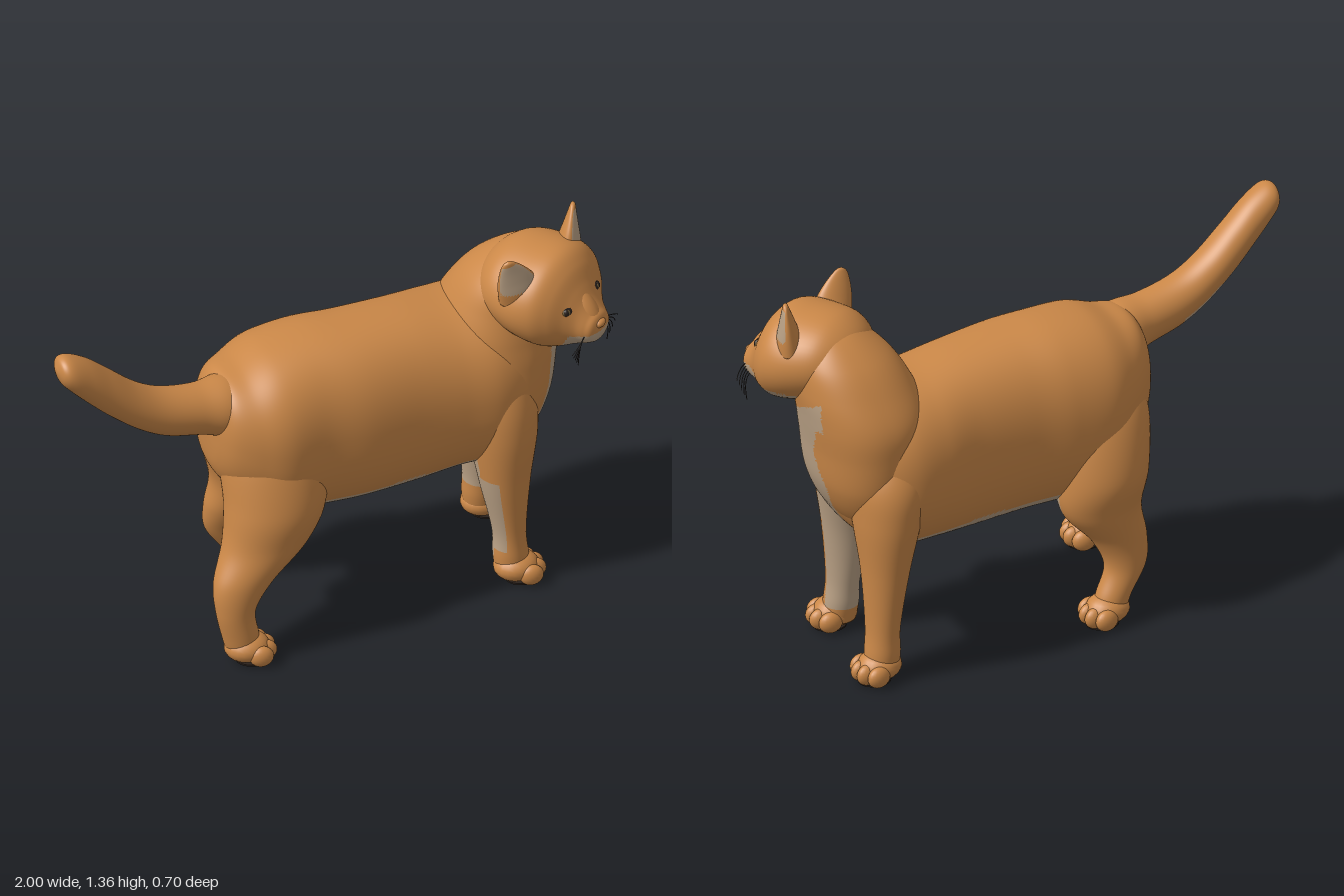
import * as THREE from 'three';

const mat = (name, color) => {
  const m = new THREE.MeshStandardMaterial({ color });
  m.name = name;
  return m;
};
const fur = mat('orange fur', 0xcb8848);
const cream = mat('cream fur', 0xbba286);
const dark = mat('dark pads and whiskers', 0x2a211c);
const iris = mat('olive iris', 0x75623a);

// Catmull-Rom blend of two neighbouring cross-sections
function section(list, i, f) {
  const at = k => list[Math.min(list.length - 1, Math.max(0, k))];
  const [p, a, b, n] = [at(i - 1), at(i), at(i + 1), at(i + 2)];
  return a.map((v, k) => {
    const m0 = (b[k] - p[k]) / 2, m1 = (n[k] - v) / 2, g = f * f, h = g * f;
    return (2 * h - 3 * g + 1) * v + (h - 2 * g + f) * m0 + (3 * g - 2 * h) * b[k] + (h - g) * m1;
  });
}

// Closed skin through sections [position, centreA, centreB, radiusA, radiusB] along an axis
const place = {
  x: (t, a, b) => [t, a, b],
  y: (t, a, b) => [a, t, b],
  z: (t, a, b) => [a, b, t],
};
function loft(name, list, axis, isCream, power = 2, sides = 56, steps = 8) {
  const pos = [], idx = [], rings = [];
  for (let i = 0; i < list.length - 1; i++)
    for (let s = 0; s < steps; s++) rings.push(section(list, i, s / steps));
  rings.push(list[list.length - 1]);
  const bend = v => Math.sign(v) * Math.abs(v) ** (2 / power);
  for (const [t, a, b, ra, rb] of rings)
    for (let j = 0; j < sides; j++) {
      const u = j / sides * Math.PI * 2;
      pos.push(...place[axis](t, a + Math.max(ra, 0.002) * bend(Math.cos(u)), b + Math.max(rb, 0.002) * bend(Math.sin(u))));
    }
  const last = rings.length - 1, c0 = rings.length * sides;
  for (const r of [rings[0], rings[last]]) pos.push(...place[axis](r[0], r[1], r[2]));
  for (let j = 0; j < sides; j++) {
    const k = (j + 1) % sides;
    for (let i = 0; i < last; i++) {
      const a = i * sides + j, b = i * sides + k;
      idx.push(a, b, a + sides, b, b + sides, a + sides);
    }
    idx.push(c0, k, j, c0 + 1, last * sides + j, last * sides + k);
  }
  // the y axis mapping mirrors the skin, so its corners are reversed here
  const v = i => new THREE.Vector3().fromArray(pos, i * 3);
  let volume = 0;
  for (let i = 0; i < idx.length; i += 3) volume += v(idx[i]).dot(v(idx[i + 1]).cross(v(idx[i + 2])));
  if (volume < 0) idx.reverse();

  // sort the faces into fur and cream patches
  const parts = [[], []];
  for (let i = 0; i < idx.length; i += 3) {
    const [a, b, c] = [v(idx[i]), v(idx[i + 1]), v(idx[i + 2])];
    const n = b.clone().sub(a).cross(c.clone().sub(a)).normalize();
    const p = a.add(b).add(c).divideScalar(3);
    parts[isCream(p, n) ? 1 : 0].push(idx[i], idx[i + 1], idx[i + 2]);
  }
  const geo = new THREE.BufferGeometry();
  geo.setAttribute('position', new THREE.Float32BufferAttribute(pos, 3));
  geo.setIndex(parts.flat());
  geo.addGroup(0, parts[0].length, 0);
  geo.addGroup(parts[0].length, parts[1].length, 1);
  geo.computeVertexNormals();
  const mesh = new THREE.Mesh(geo, [fur, cream]);
  mesh.name = name;
  return mesh;
}

function ball(name, material, p, r) {
  const mesh = new THREE.Mesh(new THREE.SphereGeometry(1, 20, 14), material);
  mesh.name = name;
  mesh.position.set(...p);
  mesh.scale.set(...r);
  return mesh;
}

// Paw with four toes pointing along +x and a dark sole
function paw(name, x, z, yaw) {
  const g = new THREE.Group();
  g.name = name;
  g.add(ball('pawTop', fur, [0, 0.054, 0], [0.078, 0.052, 0.07]));
  for (let i = 0; i < 4; i++) {
    const w = i - 1.5, inner = Math.abs(w) < 1;
    g.add(ball('toe', fur, [inner ? 0.058 : 0.038, 0.04, w * 0.037], [0.042, 0.038, 0.026]));
  }
  const sole = new THREE.Mesh(new THREE.CylinderGeometry(1, 1, 0.006, 24), dark);
  sole.name = 'solePad';
  sole.scale.set(0.058, 1, 0.052);
  sole.position.set(0.02, 0.003, 0);
  g.add(sole);
  g.position.set(x, 0, z);
  g.rotation.y = yaw;
  return g;
}

function makeHead() {
  const head = new THREE.Group();
  head.name = 'head';
  head.add(loft('skull', [
    [-0.2, 0, 0, 0.05, 0.05], [-0.17, 0, 0, 0.13, 0.11], [-0.1, 0, 0.01, 0.187, 0.145],
    [0, 0, 0, 0.21, 0.165], [0.08, 0, -0.01, 0.198, 0.17], [0.13, 0, -0.026, 0.16, 0.146],
    [0.165, 0, -0.05, 0.114, 0.11], [0.19, 0, -0.068, 0.087, 0.084], [0.215, 0, -0.08, 0.07, 0.062],
    [0.235, 0, -0.083, 0.052, 0.045], [0.247, 0, -0.083, 0.012, 0.01],
  ], 'z', p => p.z > -0.03 && p.y < (p.z > 0.15 ? -0.085 : -0.115) && p.x > -0.1));
  const bridge = ball('noseBridge', fur, [0, -0.022, 0.185], [0.04, 0.085, 0.034]);
  bridge.rotation.x = -0.6;
  head.add(bridge, ball('nose', fur, [0, -0.062, 0.238], [0.024, 0.015, 0.016]));

  const mouth = new THREE.Mesh(new THREE.TubeGeometry(new THREE.CatmullRomCurve3([
    [-0.045, -0.105, 0.22], [-0.02, -0.107, 0.236], [0, -0.094, 0.244], [0.02, -0.107, 0.236], [0.045, -0.105, 0.22],
  ].map(p => new THREE.Vector3(...p))), 20, 0.002, 6), dark);
  mouth.name = 'mouth';
  head.add(mouth);

  for (const s of [-1, 1]) {
    // eye: dark rim, iris and pupil
    const eye = new THREE.Group();
    eye.name = 'eye';
    eye.add(ball('eyeRim', dark, [0, 0, 0], [0.026, 0.02, 0.013]),
      ball('iris', iris, [0, 0, 0.005], [0.017, 0.014, 0.0105]),
      ball('pupil', dark, [0, 0, 0.009], [0.01, 0.013, 0.009]));
    eye.position.set(s * 0.084, 0.008, 0.16);
    eye.rotation.set(-0.3, s * 0.6, s * 0.2);
    head.add(eye);

    // ear: broad round-tipped blade with a pale inner face
    const ear = loft('ear', [
      [-0.05, 0, 0, 0.072, 0.045], [0, 0, 0, 0.071, 0.04], [0.045, 0.005 * s, 0, 0.062, 0.029],
      [0.085, 0.012 * s, 0, 0.046, 0.019], [0.115, 0.018 * s, 0, 0.029, 0.012], [0.13, 0.02 * s, 0, 0.015, 0.008],
      [0.135, 0.02 * s, 0, 0.002, 0.002],
    ], 'y', (p, n) => n.z > 0.6 && p.y > 0.005 && p.y < 0.118, 2, 40, 6);
    ear.position.set(s * 0.146, 0.1, 0.015);
    ear.rotation.set(0.17, s * 0.55, -s * 0.2);
    head.add(ear);

    // drooping whiskers
    for (let i = 0; i < 5; i++) {
      const y = -0.082 - i * 0.008, z = 0.212 - i * 0.004;
      const curve = new THREE.QuadraticBezierCurve3(
        new THREE.Vector3(s * 0.045, y, z),
        new THREE.Vector3(s * 0.09, y - 0.005, z + 0.018),
        new THREE.Vector3(s * (0.13 - i * 0.012), y - 0.045 - i * 0.012, z));
      const whisker = new THREE.Mesh(new THREE.TubeGeometry(curve, 10, 0.0016, 5), dark);
      whisker.name = 'whisker';
      head.add(whisker);
    }
  }
  head.position.set(0.765, 1.115, 0.09);
  head.rotation.set(0, 0.56, 0.1, 'YXZ');
  return head;
}

export function createModel() {
  const cat = new THREE.Group();
  cat.name = 'cat';
  const bib = p => p.x > 0.66 && p.y < 0.965 - p.z * 0.5 && p.z < 0.15
    && p.z > (p.y > 0.93 ? -0.15 : -0.095 + 0.02 * Math.sin(p.y * 25));

  cat.add(loft('body', [
    [-0.43, 0.82, 0.04, 0.03, 0.03], [-0.42, 0.81, 0.04, 0.13, 0.11], [-0.38, 0.805, 0.035, 0.2, 0.18],
    [-0.3, 0.775, 0.02, 0.25, 0.24], [-0.2, 0.75, 0.005, 0.31, 0.277], [-0.05, 0.75, -0.01, 0.327, 0.268],
    [0.1, 0.745, -0.01, 0.328, 0.262], [0.3, 0.738, -0.03, 0.322, 0.258], [0.45, 0.735, -0.05, 0.308, 0.27],
    [0.58, 0.735, -0.055, 0.3, 0.275], [0.68, 0.74, -0.05, 0.26, 0.24], [0.76, 0.76, -0.03, 0.19, 0.17],
    [0.805, 0.78, -0.02, 0.1, 0.09], [0.815, 0.78, -0.02, 0.01, 0.01],
  ], 'x', (p, n) => (n.y < -0.4 && p.y < 0.505 && p.x > -0.3) || bib(p), 2.3, 96, 10));

  cat.add(loft('neckAndChest', [
    [0.5, 0.62, -0.03, 0.05, 0.1], [0.58, 0.645, -0.035, 0.12, 0.19], [0.7, 0.66, -0.05, 0.165, 0.235],
    [0.85, 0.662, -0.055, 0.188, 0.245], [0.95, 0.662, -0.055, 0.205, 0.238], [1.05, 0.685, -0.035, 0.197, 0.21],
    [1.15, 0.715, 0, 0.165, 0.175], [1.23, 0.745, 0.03, 0.09, 0.105], [1.25, 0.75, 0.04, 0.02, 0.02],
  ], 'y', bib, 2.2, 112, 12));

  cat.add(loft('tail', [
    [-0.26, 0.91, 0.05, 0.06, 0.06], [-0.36, 0.905, 0.063, 0.105, 0.11], [-0.47, 0.923, 0.08, 0.09, 0.09],
    [-0.6, 0.955, 0.092, 0.087, 0.083], [-0.7, 1.01, 0.1, 0.087, 0.08], [-0.8, 1.093, 0.108, 0.09, 0.077],
    [-0.88, 1.165, 0.118, 0.085, 0.074], [-0.95, 1.221, 0.128, 0.067, 0.069], [-0.985, 1.24, 0.13, 0.045, 0.052],
    [-1, 1.245, 0.13, 0.01, 0.012],
  ], 'x', (p, n) => p.x < -0.6 && n.y < -0.4 && n.z < 0));

  cat.add(loft('leftFrontLeg', [
    [0.03, 0.638, 0.15, 0.06, 0.055], [0.1, 0.632, 0.143, 0.061, 0.062], [0.2, 0.628, 0.137, 0.058, 0.066],
    [0.4, 0.615, 0.13, 0.088, 0.092], [0.6, 0.615, 0.108, 0.12, 0.13], [0.75, 0.61, 0.085, 0.12, 0.13],
    [0.9, 0.6, 0.06, 0.07, 0.08], [0.93, 0.6, 0.06, 0.01, 0.01],
  ], 'y', (p, n) => p.y > 0.09 && p.y < 0.75 && (p.z < 0.145 || (n.x < -0.55 && p.y > 0.13 && p.y < 0.42))));
  cat.add(loft('rightFrontLeg', [
    [0.03, 0.678, -0.238, 0.06, 0.055], [0.1, 0.672, -0.235, 0.061, 0.064], [0.2, 0.668, -0.23, 0.058, 0.069],
    [0.4, 0.655, -0.222, 0.08, 0.095], [0.6, 0.64, -0.205, 0.115, 0.135], [0.75, 0.62, -0.188, 0.13, 0.14],
    [0.9, 0.6, -0.15, 0.08, 0.09], [0.93, 0.6, -0.15, 0.01, 0.01],
  ], 'y', (p, n) => p.y > 0.15 && p.y < 0.5 && n.z > -0.3 && n.x < 0));
  cat.add(loft('leftHindLeg', [
    [0.03, -0.375, 0.262, 0.058, 0.052], [0.1, -0.388, 0.26, 0.064, 0.055], [0.2, -0.402, 0.255, 0.07, 0.056],
    [0.3, -0.365, 0.235, 0.107, 0.075], [0.42, -0.27, 0.195, 0.153, 0.115], [0.56, -0.225, 0.165, 0.178, 0.148],
    [0.75, -0.22, 0.1, 0.175, 0.155], [0.88, -0.22, 0.07, 0.1, 0.09], [0.91, -0.22, 0.07, 0.01, 0.01],
  ], 'y', (p, n) => p.y > 0.1 && p.y < 0.68 && n.z < -0.4 && (p.y > 0.22 || n.x < 0.2)));
  cat.add(loft('rightHindLeg', [
    [0.03, -0.175, -0.245, 0.058, 0.052], [0.1, -0.195, -0.24, 0.062, 0.055], [0.2, -0.245, -0.228, 0.075, 0.058],
    [0.3, -0.23, -0.208, 0.1, 0.078], [0.42, -0.172, -0.195, 0.142, 0.11], [0.56, -0.18, -0.18, 0.165, 0.145],
    [0.75, -0.2, -0.11, 0.175, 0.155], [0.88, -0.22, -0.07, 0.1, 0.09], [0.91, -0.22, -0.07, 0.01, 0.01],
  ], 'y', (p, n) => p.y > 0.33 && p.y < 0.6 && n.z > 0 && p.x > -0.2));

  cat.add(paw('leftFrontPaw', 0.645, 0.16, -0.1), paw('rightFrontPaw', 0.685, -0.24, 0.1),
    paw('leftHindPaw', -0.368, 0.268, -0.15), paw('rightHindPaw', -0.17, -0.245, 0.1));
  cat.add(makeHead());
  return cat;
}
